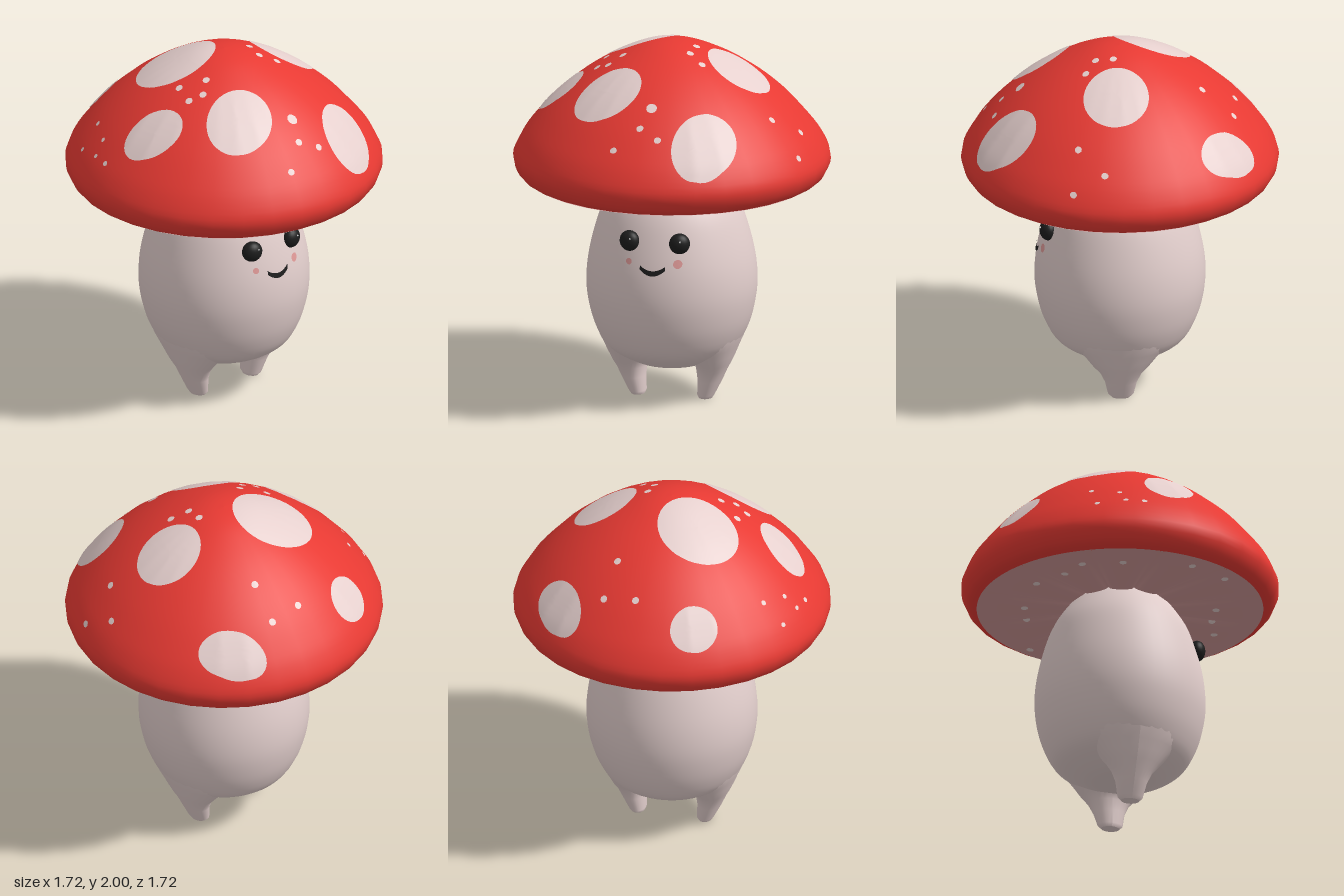
import * as THREE from 'three';

const mat = (name, color, side = THREE.FrontSide) => {
  const m = new THREE.MeshStandardMaterial({ color, side });
  m.name = name;
  return m;
};

// Smooth profile through [radius, y] points
const profile = (pts, n) =>
  new THREE.SplineCurve(pts.map(p => new THREE.Vector2(...p))).getPoints(n);

// Linear lookup of one profile coordinate from the other
function lookup(pts, from, to, value) {
  for (let i = 1; i < pts.length; i++) {
    const a = pts[i - 1], b = pts[i];
    if ((value - a[from]) * (value - b[from]) <= 0 && a[from] !== b[from])
      return THREE.MathUtils.lerp(a[to], b[to], (value - a[from]) / (b[from] - a[from]));
  }
  return pts[pts.length - 1][to];
}

// Move every vertex of a geometry by a rule
function reshape(geo, rule) {
  const p = geo.attributes.position;
  for (let i = 0; i < p.count; i++)
    p.setXYZ(i, ...rule(p.getX(i), p.getY(i), p.getZ(i)));
  geo.computeVertexNormals();
  return geo;
}

const CAP_SIDES = 32;
const capPts = profile([[0.77, 1.228], [0.828, 1.262], [0.86, 1.35], [0.817, 1.455], [0.742, 1.558],
  [0.64, 1.67], [0.51, 1.782], [0.36, 1.881], [0.2, 1.958], [0.09, 1.991], [0, 2]], 36);
const capFromApex = [...capPts].reverse();
const bodyPts = profile([[0.001, 0.185], [0.14, 0.19], [0.24, 0.225], [0.35, 0.295], [0.412, 0.4],
  [0.448, 0.52], [0.463, 0.65], [0.451, 0.8], [0.41, 0.97], [0.36, 1.1], [0.28, 1.22], [0.22, 1.28]], 44);

// Height of the faceted cap above a ground position
function capY(x, z) {
  const step = Math.PI * 2 / CAP_SIDES;
  const phi = Math.atan2(x, z);
  const off = phi - (Math.floor(phi / step) + 0.5) * step;
  const r = Math.min(Math.hypot(x, z) * Math.cos(off) / Math.cos(step / 2), 0.85);
  return lookup(capFromApex, 'x', 'y', r);
}

// Elliptical patch that hugs the cap; angle turns its long axis from x towards z
function capSpot(cx, cz, a, b, angle, rings, sides) {
  const c = Math.cos(angle), s = Math.sin(angle);
  return reshape(new THREE.RingGeometry(0, 1, sides, rings), (u, v) => {
    const x = cx + a * u * c + b * v * s, z = cz + a * u * s - b * v * c;
    const lift = 1 + 0.003 * Math.hypot(x, z);
    return [x * lift, capY(x, z) + 0.004, z * lift];
  });
}

// Point just outside the face side of the body
const onFace = (y, z, lift = 0.004) =>
  [Math.sqrt(lookup(bodyPts, 'y', 'x', y) ** 2 - z * z) + lift, y, z];

// Height of the gills: soft lobes between twelve sharp radial creases
const gillY = (x, z) => {
  const t = THREE.MathUtils.clamp((Math.hypot(x, z) - 0.2) / 0.575, 0, 1);
  const lobe = Math.sqrt(Math.abs(Math.sin(6 * Math.atan2(z, x))));
  return 1.24 - 0.012 * t - 0.028 * lobe * (1 - t ** 5);
};

export function createModel() {
  const group = new THREE.Group();
  group.name = 'mushroom';
  const red = mat('capRed', 0xe93a33);
  const cream = mat('bodyCream', 0xe3cfcd);
  const spotMat = mat('spotCream', 0xe6d0ce);
  const gillMat = mat('gillPink', 0xd29a99, THREE.DoubleSide);
  const black = mat('faceBlack', 0x1d1d1d);
  const blush = mat('cheekPink', 0xe09a98);
  const white = mat('eyeWhite', 0xffffff);

  const add = (name, geo, material) => {
    const mesh = new THREE.Mesh(geo, material);
    mesh.name = name;
    group.add(mesh);
    return mesh;
  };

  // Cap and gills
  add('cap', new THREE.LatheGeometry(capPts, CAP_SIDES), red);
  add('gills', reshape(new THREE.RingGeometry(0.2, 0.775, 144, 8), (u, v) =>
    [u, gillY(u, v), v]), gillMat);

  // Large cap spots: x, z, half axes, angle in degrees
  [
    [-0.175, 0.193, 0.21, 0.22, 0],
    [0.03, -0.38, 0.177, 0.168, 0],
    [0.418, 0.253, 0.155, 0.185, 8],
    [0.62, -0.33, 0.19, 0.125, 47],
    [-0.57, -0.473, 0.185, 0.083, -44],
    [-0.653, 0.3, 0.13, 0.083, 63],
    [0.1, 0.59, 0.16, 0.112, -36],
  ].forEach(([x, z, a, b, deg]) =>
    add('largeSpot', capSpot(x, z, a, b, deg * Math.PI / 180, 8, 40), spotMat));

  // Small cap spots, foreshortened towards the rim
  [
    [0.1, -0.74], [0.27, -0.77], [0.24, -0.615], [0.19, -0.215], [0.04, -0.147], [0.135, -0.135],
    [-0.44, -0.185], [-0.61, -0.215], [-0.62, -0.035], [0.54, -0.02, 0.03], [0.64, 0.02],
    [0.68, -0.087], [0.725, 0.147], [0.13, 0.24], [0.185, 0.31], [0.04, 0.355], [0.15, 0.38],
    [-0.34, 0.605, 0.015], [-0.205, 0.685, 0.014], [-0.19, 0.75, 0.014], [-0.09, 0.77, 0.016],
    [-0.34, 0.715, 0.015],
  ].forEach(([x, z, r = 0.02]) => {
    const squash = Math.sqrt(1 - (Math.hypot(x, z) / 0.92) ** 2);
    add('smallSpot', capSpot(x, z, r * squash, r, Math.atan2(z, x), 2, 10), spotMat);
  });

  // Pale dots that hug the gills
  for (let i = 0; i < 16; i++) {
    const phi = i * 2.4, r = 0.52 + 0.06 * (i % 4);
    const cx = r * Math.cos(phi), cz = r * Math.sin(phi);
    add('gillDot', reshape(new THREE.RingGeometry(0, 0.02, 12, 2), (u, v) =>
      [cx + u, gillY(cx + u, cz + v) - 0.004, cz + v]), spotMat);
  }

  // Body
  add('body', new THREE.LatheGeometry(bodyPts, 48), cream);

  // Legs flowing into the body: y, centre z, half width in x, half width in z
  const sections = [
    [0, 0.188, 0.05, 0.037], [0.02, 0.19, 0.07, 0.047], [0.1, 0.212, 0.087, 0.066],
    [0.16, 0.222, 0.115, 0.082], [0.2, 0.23, 0.15, 0.095], [0.25, 0.222, 0.19, 0.126],
    [0.3, 0.215, 0.235, 0.153], [0.35, 0.21, 0.275, 0.18], [0.42, 0.2, 0.3, 0.214],
  ];
  const last = sections.length - 1;
  for (const side of [1, -1]) {
    add(side > 0 ? 'frontLeg' : 'backLeg',
      reshape(new THREE.CylinderGeometry(1, 1, 1, 28, last), (x, y, z) => {
        const [h, cz, rx, rz] = sections[Math.round((y + 0.5) * last)];
        return [x * rx, h, side * cz + z * rz];
      }), cream);
  }

  // Eyes with a tiny glint, and cheeks
  for (const side of [1, -1]) {
    const eye = add('eye', new THREE.SphereGeometry(1, 24, 16), black);
    eye.scale.set(0.045, 0.057, 0.057);
    eye.position.set(...onFace(0.966, side * 0.139, 0.006));
    eye.rotation.y = -side * 0.3;
    const glint = add('eyeGlint', new THREE.SphereGeometry(0.005, 8, 6), white);
    glint.position.set(eye.position.x + 0.041, 0.986, side * 0.139 - 0.012);
    const r = side > 0 ? 0.017 : 0.024;
    add('cheek', reshape(new THREE.RingGeometry(0, 1, 20, 2), (u, v) =>
      onFace(0.858 + r * v, side * 0.136 - r * u)), blush);
  }

  // Smile: a curved strip, thicker in the middle
  add('smile', reshape(new THREE.PlaneGeometry(2, 2, 20, 2), (u, v) =>
    onFace(0.804 + 0.029 * u * u + v * (0.014 - 0.003 * u * u), -0.07 * u)), black);

  return group;
}
